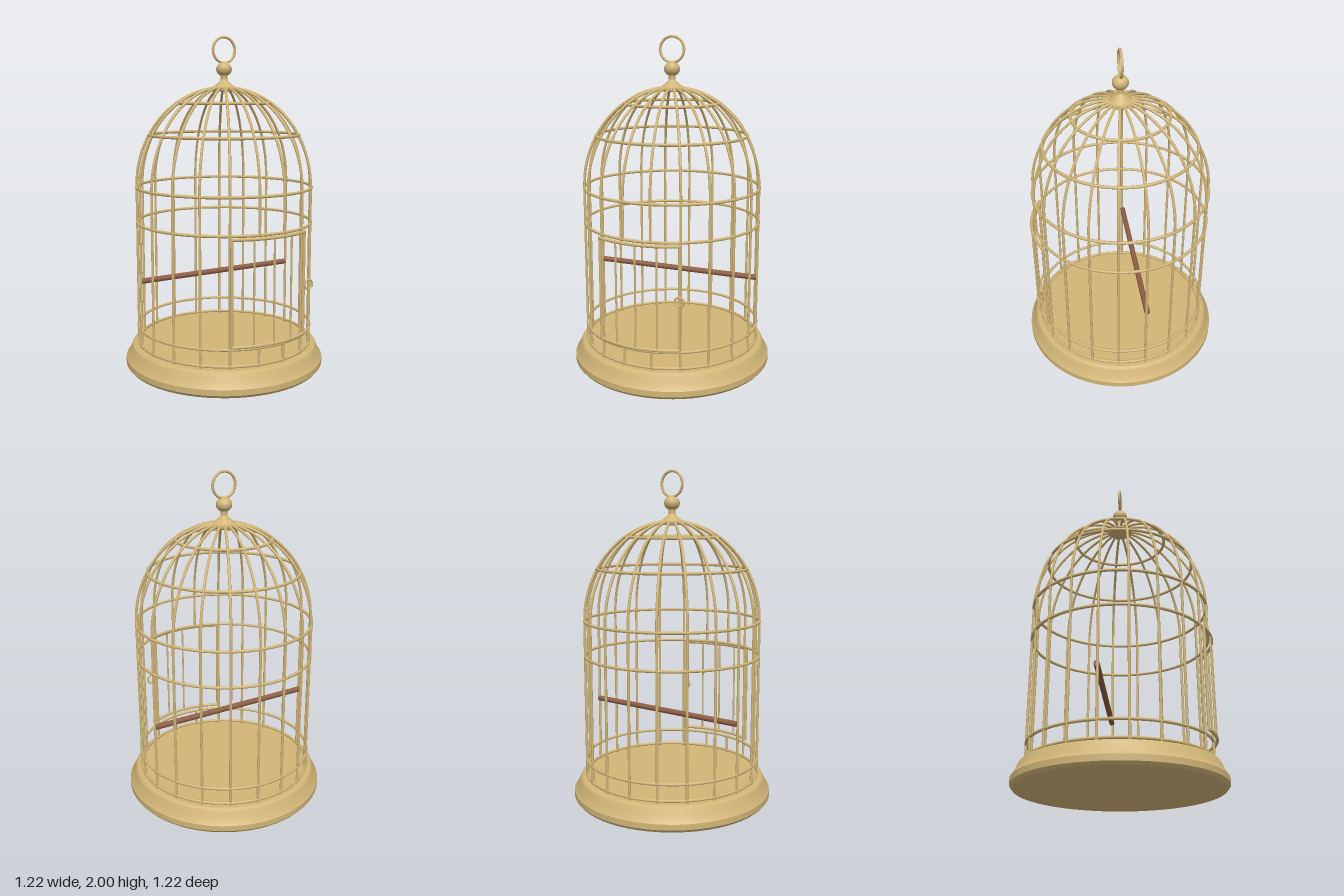
import * as THREE from 'three';

const BAR_R = 0.53, DOME_Y = 1.105, DOME_H = 0.595;
const DOOR_R = 0.55, DOOR_A = 0.457, DOOR_LOW = 0.272, DOOR_HIGH = 0.877;

export function createModel() {
  const group = new THREE.Group();
  const brass = new THREE.MeshStandardMaterial({ color: 0xd2b678 });
  brass.name = 'brass';
  const wood = new THREE.MeshStandardMaterial({ color: 0x8f5f44 });
  wood.name = 'perch wood';

  const add = (name, geometry, parent = group, material = brass) => {
    const mesh = new THREE.Mesh(geometry, material);
    mesh.name = name;
    parent.add(mesh);
    return mesh;
  };
  const addGroup = (name) => {
    const g = new THREE.Group();
    g.name = name;
    group.add(g);
    return g;
  };
  const lathe = (points) => new THREE.LatheGeometry(points.map(([r, y]) => new THREE.Vector2(r, y)), 64);
  // Upright rod standing on a circle, angle measured from the front
  const rod = (name, parent, radius, angle, y0, y1, thick) => {
    const mesh = add(name, new THREE.CylinderGeometry(thick, thick, y1 - y0, 8), parent);
    mesh.position.set(radius * Math.sin(angle), (y0 + y1) / 2, radius * Math.cos(angle));
  };

  // Base: chamfered foot, sloping moulding and flat floor
  const base = addGroup('base');
  add('baseFoot', lathe([[0.595, 0], [0.61, 0.018]]), base);
  add('baseBand', lathe([[0.61, 0.018], [0.61, 0.052]]), base);
  add('baseMoulding', lathe([[0.61, 0.052], [0.598, 0.067], [0.583, 0.097], [0.572, 0.125], [0.565, 0.136], [0.55, 0.14]]), base);
  const floor = add('floor', new THREE.CircleGeometry(0.55, 64), base);
  floor.rotation.x = -Math.PI / 2;
  floor.position.y = 0.14;
  const underside = add('underside', new THREE.CircleGeometry(0.595, 64), base);
  underside.rotation.x = Math.PI / 2;

  // Twenty bars bending into the dome; the two behind the door are interrupted
  const bars = addGroup('bars');
  const arch = [];
  for (let i = 0; i <= 12; i++) {
    const t = (i / 12) * 1.47;
    arch.push(new THREE.Vector3(0, DOME_Y + DOME_H * Math.sin(t), BAR_R * Math.cos(t)));
  }
  const archGeometry = new THREE.TubeGeometry(new THREE.CatmullRomCurve3(arch), 28, 0.008, 8);
  for (let i = 0; i < 20; i++) {
    const angle = ((i + 0.5) / 20) * Math.PI * 2;
    add('domeBar', archGeometry, bars).rotation.y = angle;
    if (i === 0 || i === 19) {
      rod('barBelowDoor', bars, BAR_R, angle, 0.13, 0.25, 0.008);
      rod('barAboveDoor', bars, BAR_R, angle, 0.89, DOME_Y, 0.008);
    } else {
      rod('wallBar', bars, BAR_R, angle, 0.13, DOME_Y, 0.008);
    }
  }

  // Hoops around the wall and dome
  const hoops = addGroup('hoops');
  const hoopSizes = [[0.155, BAR_R], [0.252, BAR_R], [0.893, BAR_R], [DOME_Y, BAR_R], [1.417, 0.452], [1.605, 0.283]];
  for (const [y, r] of hoopSizes) {
    const hoop = add('hoop', new THREE.TorusGeometry(r, 0.009, 8, 72), hoops);
    hoop.rotation.x = Math.PI / 2;
    hoop.position.y = y;
  }

  // Curved front door: two rails, two stiles and three bars
  const door = addGroup('door');
  const railPoints = [];
  for (let i = 0; i <= 8; i++) {
    const a = DOOR_A * (i / 4 - 1);
    railPoints.push(new THREE.Vector3(DOOR_R * Math.sin(a), 0, DOOR_R * Math.cos(a)));
  }
  const railGeometry = new THREE.TubeGeometry(new THREE.CatmullRomCurve3(railPoints), 20, 0.01, 8);
  for (const y of [DOOR_LOW, DOOR_HIGH]) add('doorRail', railGeometry, door).position.y = y;
  for (const side of [-1, 1]) rod('doorStile', door, DOOR_R, side * DOOR_A, DOOR_LOW - 0.008, DOOR_HIGH + 0.008, 0.009);
  for (const side of [-1, 0, 1]) rod('doorBar', door, DOOR_R, side * DOOR_A / 2, DOOR_LOW, DOOR_HIGH, 0.006);
  const latch = add('latchRing', new THREE.TorusGeometry(0.027, 0.006, 8, 24), door);
  latch.position.set(0.255, 0.573, 0.525);

  // Perch across the cage
  const perch = add('perch', new THREE.CylinderGeometry(0.017, 0.017, 1.045, 12), group, wood);
  perch.rotation.z = Math.PI / 2;
  perch.position.set(0, 0.556, -0.088);

  // Crown: cap, neck, ball and hanging ring
  const crown = addGroup('crown');
  add('cap', lathe([[0, 1.675], [0.07, 1.675], [0.08, 1.685], [0.07, 1.698], [0.045, 1.718], [0.025, 1.735], [0.02, 1.745]]), crown);
  const neck = add('neck', new THREE.CylinderGeometry(0.02, 0.02, 0.05, 24), crown);
  neck.position.y = 1.762;
  const ball = add('ball', new THREE.SphereGeometry(0.047, 32, 20), crown);
  ball.scale.y = 0.9;
  ball.position.y = 1.805;
  const ring = add('hangingRing', new THREE.TorusGeometry(0.075, 0.008, 10, 48), crown);
  ring.position.y = 1.917;

  return group;
}
